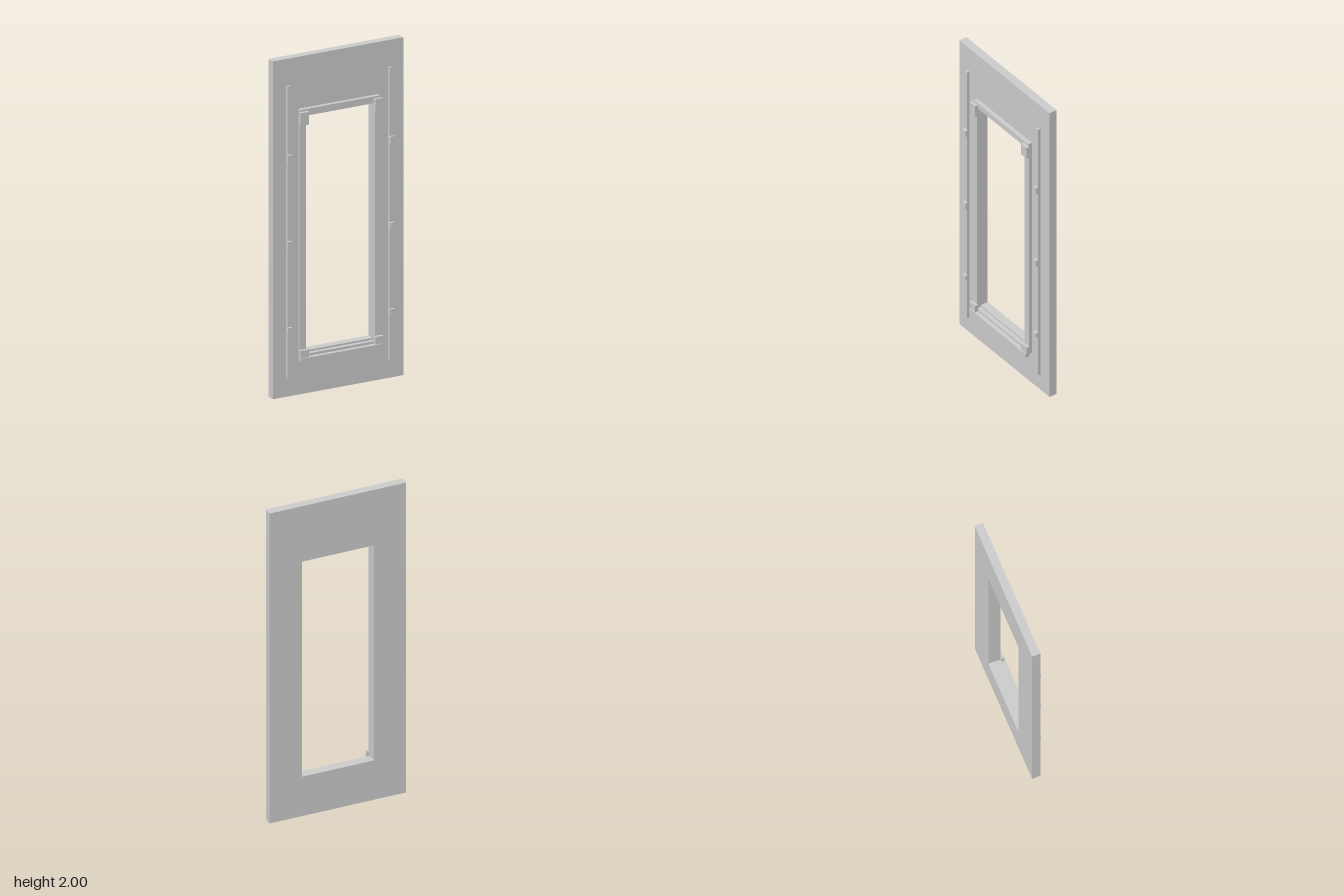
import * as THREE from 'three';

const material = new THREE.MeshStandardMaterial({ color: 0xcccccc, flatShading: true });

// Box given by its limits on each axis
function box(parent, name, [x0, x1], [y0, y1], [z0, z1]) {
  const mesh = new THREE.Mesh(new THREE.BoxGeometry(x1 - x0, y1 - y0, z1 - z0), material);
  mesh.position.set((x0 + x1) / 2, (y0 + y1) / 2, (z0 + z1) / 2);
  mesh.name = name;
  parent.add(mesh);
}

// The same box on the left and mirrored to the right
function pair(parent, name, [x0, x1], y, z) {
  box(parent, name + 'Left', [x0, x1], y, z);
  box(parent, name + 'Right', [-x1, -x0], y, z);
}

export function createModel() {
  const model = new THREE.Group();
  model.name = 'wallWithWindow';

  // Wall panel with a rectangular opening
  const shape = new THREE.Shape([[-0.42, 0], [0.42, 0], [0.42, 2], [-0.42, 2]].map(p => new THREE.Vector2(...p)));
  shape.holes.push(new THREE.Path([[-0.222, 0.254], [-0.222, 1.642], [0.222, 1.642], [0.222, 0.254]].map(p => new THREE.Vector2(...p))));
  const wall = new THREE.Mesh(new THREE.ExtrudeGeometry(shape, { depth: 0.05, bevelEnabled: false }), material);
  wall.position.z = -0.05;
  wall.name = 'wall';
  model.add(wall);

  // Window surround: jambs with an outer lip, header and stepped sill
  const frame = new THREE.Group();
  frame.name = 'windowFrame';
  model.add(frame);
  pair(frame, 'jamb', [0.222, 0.256], [0.22, 1.66], [0, 0.025]);
  pair(frame, 'jambLip', [0.256, 0.262], [0.22, 1.66], [0.0145, 0.025]);
  box(frame, 'header', [-0.256, 0.256], [1.656, 1.692], [0, 0.025]);
  box(frame, 'sillBack', [-0.256, 0.256], [0.21, 0.243], [0, 0.025]);
  box(frame, 'sill', [-0.264, 0.264], [0.202, 0.228], [0.025, 0.05]);

  // Corner blocks
  pair(frame, 'topCornerBlock', [0.214, 0.266], [1.605, 1.68], [0.025, 0.044]);
  pair(frame, 'bottomCornerBlock', [0.214, 0.266], [0.21, 0.273], [0.025, 0.044]);

  // Vertical pipes with clips on both sides of the window
  pair(model, 'pipe', [0.32, 0.338], [0.11, 1.842], [0.003, 0.02]);
  for (const [y, h] of [[0.403, 0.028], [0.907, 0.042], [1.418, 0.042]]) {
    pair(model, 'pipeClip', [0.315, 0.344], [y - h / 2, y + h / 2], [0.02, 0.036]);
  }
  return model;
}
